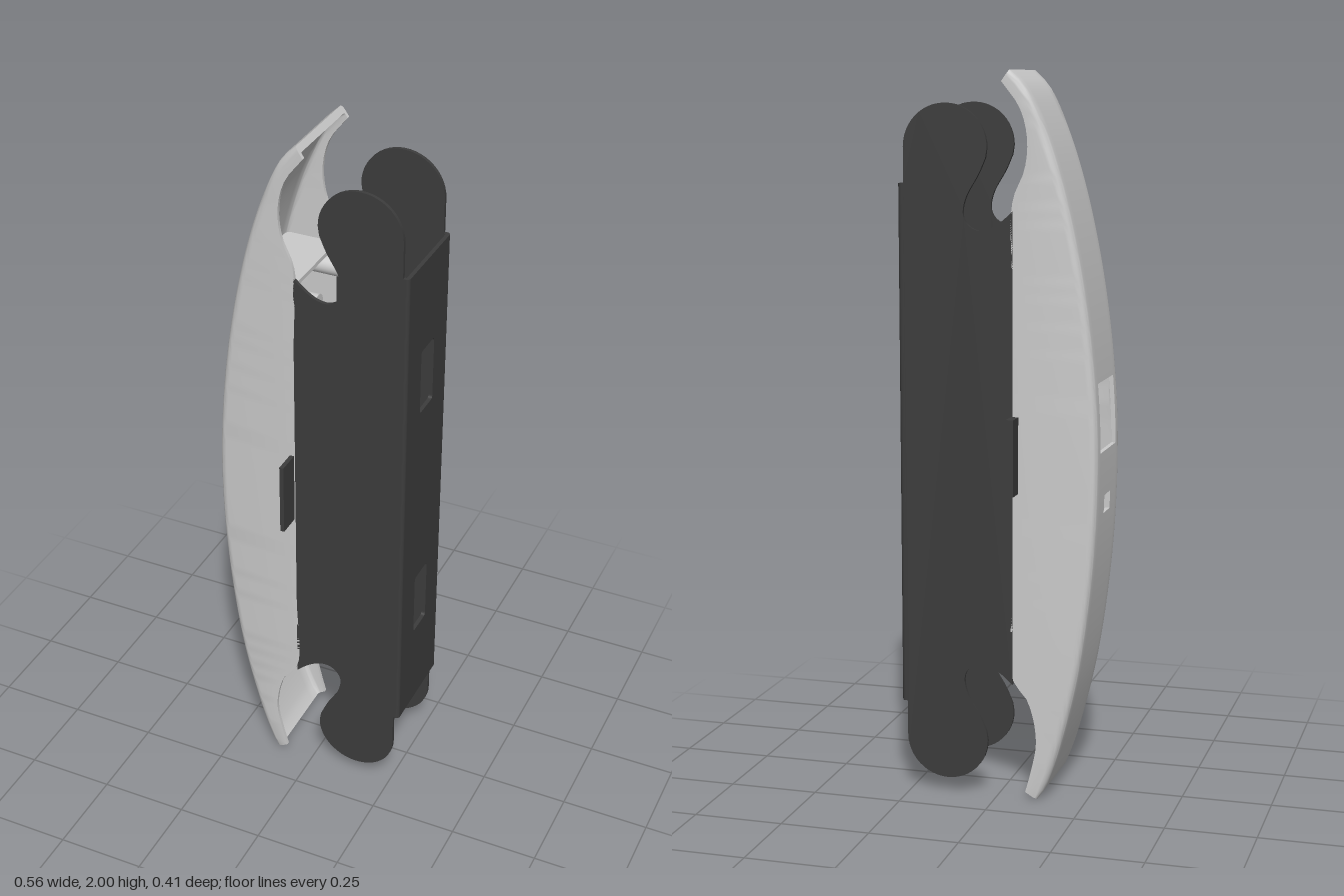
import * as THREE from 'three';
import { toCreasedNormals } from 'three/addons/utils/BufferGeometryUtils.js';

const grey = new THREE.MeshStandardMaterial({ color: 0xcccccc, side: THREE.DoubleSide });
const dark = new THREE.MeshStandardMaterial({ color: 0x3c3c3c });
const HALF = 0.138, PLATE = 0.01, MID = 0.978;

// x as a smooth function of y through a few points (y, x), y ascending
function profile(points) {
  const pts = new THREE.CatmullRomCurve3(points.map(([y, x]) => new THREE.Vector3(x, y, 0)), false, 'centripetal').getPoints(300);
  return (y) => {
    let i = 1;
    while (i < pts.length - 1 && pts[i].y < y) i++;
    const a = pts[i - 1], b = pts[i];
    const t = THREE.MathUtils.clamp((y - a.y) / (b.y - a.y), 0, 1);
    return a.x + (b.x - a.x) * t;
  };
}

const outerX = profile([[0, -0.115], [0.02, -0.13], [0.08, -0.155], [0.18, -0.185], [0.35, -0.225], [0.55, -0.255],
  [0.75, -0.273], [0.95, -0.279], [1.1, -0.275], [1.3, -0.257], [1.5, -0.226], [1.7, -0.18], [1.85, -0.13], [1.96, -0.075], [2, -0.035]]);
const innerX = profile([[0.02, -0.082], [0.08, -0.098], [0.17, -0.113], [0.28, -0.09], [0.345, -0.045], [0.6, -0.045],
  [1.4, -0.045], [1.655, -0.045], [1.74, -0.078], [1.82, -0.085], [1.9, -0.065], [1.97, -0.014]]);

// Hollow curved cover: U-shaped cross-sections lofted from tip to tip, with two openings
function coverGeometry() {
  const holes = [{ y0: 0.98, y1: 1.17, z: 0.09 }, { y0: 0.805, y1: 0.855, z: 0.035 }];
  const ys = holes.flatMap((h) => [h.y0, h.y1]);
  for (let i = 0; i <= 80; i++) ys.push(i / 40);
  const rows = [...new Set(ys)].sort((a, b) => a - b);

  // one U from the +z rim, round the back, to the -z rim
  function u(xo, xi, half, r) {
    const side = [[xi, half]];
    for (let k = 0; k <= 5; k++) {
      const a = (k / 5) * Math.PI / 2;
      side.push([xo + r - r * Math.sin(a), half - r + r * Math.cos(a)]);
    }
    side.push([xo, 0.09], [xo, 0.035]);
    return [...side, ...side.slice().reverse().map(([x, z]) => [x, -z])];
  }

  const pos = [], idx = [];
  let n = 0;
  for (const y of rows) {
    const yi = 0.02 + y * 0.975, xo = outerX(y), xi = innerX(yi), w = xi - xo;
    const wall = Math.min(0.012, w * 0.6);
    const outer = u(xo, xi, HALF, Math.min(0.022, w * 0.45));
    const inner = u(xo + wall, xi, HALF - PLATE, Math.min(0.014, (w - wall) * 0.45));
    n = outer.length;
    for (const [x, z] of [...outer, ...inner]) pos.push(x, y + (yi - y) * (x - xo) / w, z);
  }
  const O = (r, c) => r * 2 * n + c, I = (r, c) => O(r, c) + n;
  const quad = (a, b, c, d) => idx.push(a, b, c, a, c, d);
  const zOf = (c) => pos[c * 3 + 2];
  const open = (r, c) => holes.some((h) => rows[r] >= h.y0 - 1e-6 && rows[r + 1] <= h.y1 + 1e-6
    && c >= 7 && c < n - 7 && Math.abs((zOf(c) + zOf(c + 1)) / 2) < h.z);
  const last = rows.length - 1;
  for (let r = 0; r < last; r++) {
    for (let c = 0; c < n - 1; c++) {
      if (open(r, c)) { // line the edges of the opening
        if (!open(r - 1, c)) quad(O(r, c), O(r, c + 1), I(r, c + 1), I(r, c));
        if (!open(r + 1, c)) quad(O(r + 1, c + 1), O(r + 1, c), I(r + 1, c), I(r + 1, c + 1));
        if (!open(r, c - 1)) quad(O(r, c), I(r, c), I(r + 1, c), O(r + 1, c));
        if (!open(r, c + 1)) quad(O(r, c + 1), O(r + 1, c + 1), I(r + 1, c + 1), I(r, c + 1));
      } else {
        quad(O(r, c), O(r + 1, c), O(r + 1, c + 1), O(r, c + 1));
        quad(I(r, c), I(r, c + 1), I(r + 1, c + 1), I(r + 1, c));
      }
    }
    quad(O(r, 0), I(r, 0), I(r + 1, 0), O(r + 1, 0));
    quad(O(r, n - 1), O(r + 1, n - 1), I(r + 1, n - 1), I(r, n - 1));
  }
  for (let c = 0; c < n - 1; c++) {
    quad(O(0, c), O(0, c + 1), I(0, c + 1), I(0, c));
    quad(O(last, c), I(last, c), I(last, c + 1), O(last, c + 1));
  }
  const g = new THREE.BufferGeometry();
  g.setAttribute('position', new THREE.Float32BufferAttribute(pos, 3));
  g.setIndex(idx);
  return toCreasedNormals(g, 0.6);
}

// Side cheek of the bracket: a plate with a hooked round lobe at each end
function cheekGeometry() {
  const hook = [[-0.045, 1.63], [-0.015, 1.603], [0.02, 1.582], [0.055, 1.578], [0.082, 1.595], [0.093, 1.625],
    [0.082, 1.67], [0.05, 1.725], [0.03, 1.77]];
  const end = new THREE.SplineCurve(hook.map(([x, y]) => new THREE.Vector2(x, y))).getPoints(32);
  for (let k = 0; k <= 24; k++) {
    const a = Math.PI * (1 - k / 24);
    end.push(new THREE.Vector2(0.143 + 0.117 * Math.cos(a), 1.797 + 0.117 * Math.sin(a)));
  }
  end.push(new THREE.Vector2(0.26, 1.7), new THREE.Vector2(0.266, 1.7));
  const mirrored = end.map((p) => new THREE.Vector2(p.x, 2 * MID - p.y)).reverse();
  return toCreasedNormals(new THREE.ExtrudeGeometry(new THREE.Shape([...end, ...mirrored]), { depth: PLATE, bevelEnabled: false }), 0.6);
}

// Base web of the bracket with two small rounded windows
function baseGeometry() {
  const w = HALF - 0.011, y0 = 2 * MID - 1.7, y1 = 1.7;
  const s = new THREE.Shape([[-w, y0], [w, y0], [w, y1], [-w, y1]].map(([x, y]) => new THREE.Vector2(x, y)));
  for (const y of [0.605, 1.345]) {
    const h = new THREE.Path(), a = 0.043, b = 0.095, r = 0.01;
    h.absarc(a - r, y + b - r, r, 0, Math.PI / 2);
    h.absarc(-a + r, y + b - r, r, Math.PI / 2, Math.PI);
    h.absarc(-a + r, y - b + r, r, Math.PI, Math.PI * 1.5);
    h.absarc(a - r, y - b + r, r, Math.PI * 1.5, Math.PI * 2);
    s.holes.push(h);
  }
  return new THREE.ExtrudeGeometry(s, { depth: 0.011, bevelEnabled: false, curveSegments: 4 }).rotateY(Math.PI / 2);
}

export function createModel() {
  const model = new THREE.Group();
  const add = (name, geometry, material, x = 0, y = 0, z = 0) => {
    const m = new THREE.Mesh(geometry, material);
    m.name = name;
    m.position.set(x, y, z);
    model.add(m);
    return m;
  };
  const box = (name, material, x0, x1, y0, y1, z0, z1) => add(name, new THREE.BoxGeometry(x1 - x0, y1 - y0, z1 - z0),
    material, (x0 + x1) / 2, (y0 + y1) / 2, (z0 + z1) / 2);

  add('cover', coverGeometry(), grey);

  // Bulkheads and screw posts inside the cover
  for (const [name, y, post] of [['upper', 1.6, 1.55], ['lower', 0.38, 0.41]]) {
    box(name + 'Bulkhead', grey, -0.2, -0.045, y - 0.006, y + 0.006, -0.128, 0.128);
    for (const z of [-0.1, 0.1]) {
      add(name + 'ScrewPost', new THREE.CylinderGeometry(0.026, 0.026, 0.21, 24).rotateZ(Math.PI / 2), grey, -0.095, post, z);
    }
  }

  // U-shaped bracket
  const cheek = cheekGeometry();
  add('leftCheek', cheek, dark, 0, 0, HALF - PLATE);
  add('rightCheek', cheek, dark, 0, 0, -HALF);
  add('bracketBase', baseGeometry(), dark, 0.266, 0, 0);
  const length = 2 * (1.7 - MID);
  for (const s of [1, -1]) {
    add('bracketCorner', new THREE.CylinderGeometry(0.011, 0.011, length, 6, 1, false, s > 0 ? 0 : Math.PI / 2, Math.PI / 2),
      dark, 0.266, MID, s * (HALF - 0.011));
  }

  // Side tabs: a plain one in front, one with a thicker grip behind
  box('frontTab', dark, -0.06, -0.048, 0.87, 1.08, 0.126, 0.204);
  box('rearTabNeck', dark, -0.06, -0.048, 0.88, 1.07, -0.156, -0.126);
  box('rearTabGrip', dark, -0.066, -0.045, 0.87, 1.08, -0.206, -0.154);
  return model;
}
